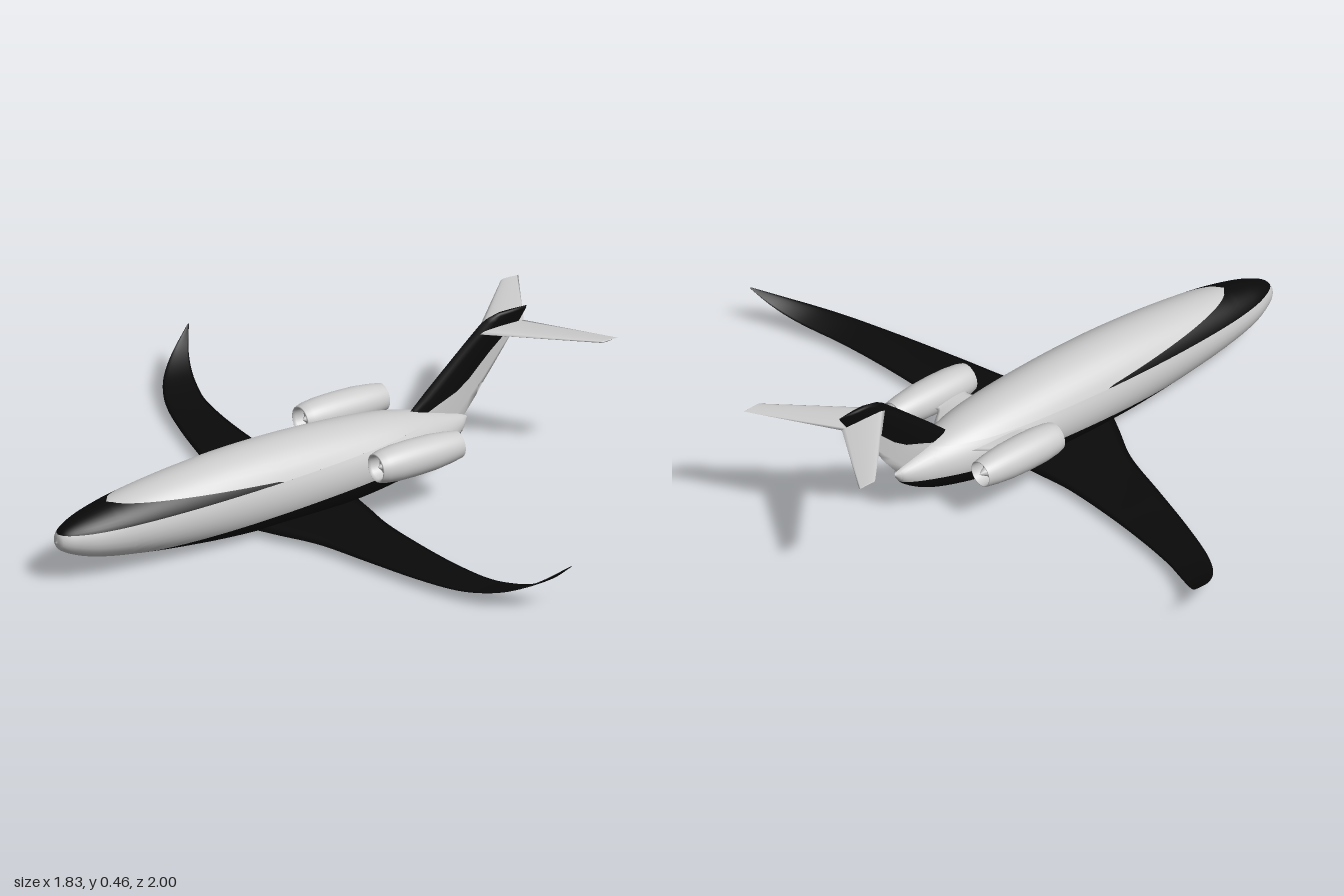
import * as THREE from 'three';

const light = new THREE.MeshStandardMaterial({ color: 0xcccccc });
light.name = 'lightGrey';
const black = new THREE.MeshStandardMaterial({ color: 0x0a0a0a });
black.name = 'black';
const paints = [light, black];

// Skin over closed rings of points; paintOf(j) gives the paint index of each lengthwise strip.
function skin(name, rings, paintOf) {
  const n = rings[0].length;
  const index = [];
  const geometry = new THREE.BufferGeometry().setFromPoints(rings.flat());
  let start = 0;
  for (let j = 0; j < n; j++) {
    const k = (j + 1) % n;
    for (let i = 0; i < rings.length - 1; i++) {
      const a = i * n, b = a + n;
      index.push(a + j, b + j, b + k, a + j, b + k, a + k);
    }
    if (j === n - 1 || paintOf(j) !== paintOf(j + 1)) {
      geometry.addGroup(start, index.length - start, paintOf(j));
      start = index.length;
    }
  }
  geometry.setIndex(index);
  geometry.computeVertexNormals();
  const mesh = new THREE.Mesh(geometry, paints);
  mesh.name = name;
  return mesh;
}

// Smooth curves through rows of numbers, sampled as rows.
function sampleRows(rows, steps) {
  const curves = rows[0].map((_, c) =>
    new THREE.CatmullRomCurve3(rows.map((r) => new THREE.Vector3(r[c], 0, 0)), false, 'catmullrom', 0.5));
  return Array.from({ length: steps + 1 }, (_, i) => curves.map((c) => c.getPoint(i / steps).x));
}

// Blade with a lens section. Each section: lead x, trail x, y, z, thickness, chord fraction where the paint changes.
function blade(name, sections, frontPaint, rearPaint) {
  const m = 6;
  const rings = sections.map(([lead, trail, y, z, thick, split = 0.5], i) => {
    const p = sections[Math.max(i - 1, 0)], q = sections[Math.min(i + 1, sections.length - 1)];
    const normal = new THREE.Vector3(0, q[2] - p[2], q[3] - p[3]).cross(new THREE.Vector3(1, 0, 0)).normalize();
    const ring = [];
    for (let j = 0; j < 4 * m; j++) {
      const k = j <= 2 * m ? j : 4 * m - j;
      const u = k <= m ? split * k / m : split + (1 - split) * (k - m) / m;
      const half = (j <= 2 * m ? 1 : -1) * thick * Math.sqrt(u) * (1 - u) * 1.3;
      ring.push(new THREE.Vector3(lead + (trail - lead) * u, y, z).addScaledVector(normal, half));
    }
    return ring;
  });
  return skin(name, rings, (j) => (j < m || j >= 3 * m ? frontPaint : rearPaint));
}

function fuselage() {
  // x, top, bottom, half width
  const rows = sampleRows([
    [-0.915, 0.141, 0.137, 0.002], [-0.905, 0.168, 0.115, 0.026], [-0.87, 0.189, 0.094, 0.05],
    [-0.8, 0.211, 0.069, 0.077], [-0.68, 0.235, 0.046, 0.1], [-0.5, 0.257, 0.023, 0.118],
    [-0.3, 0.271, 0.006, 0.128], [-0.1, 0.272, 0.001, 0.13], [0.1, 0.262, 0.008, 0.125],
    [0.25, 0.246, 0.024, 0.111], [0.36, 0.223, 0.043, 0.086], [0.45, 0.197, 0.07, 0.056],
    [0.52, 0.173, 0.112, 0.026], [0.55, 0.158, 0.15, 0.003],
  ], 156);
  const m = 8, gap = 1e-4, end = Math.PI / 2;
  const rings = rows.map(([x, top, bottom, w]) => {
    const c = (top + bottom) / 2, h = (top - bottom) / 2;
    const angle = (y) => Math.asin(THREE.MathUtils.clamp((y - c) / h, -1, 1));
    // Belly line, then the lower and upper edge of the nose stripe
    const belly = THREE.MathUtils.clamp(angle(0.05 + (x + 0.64) * 0.066), -end + gap, end - 3 * gap);
    const low = THREE.MathUtils.clamp(angle(0.165 + (x + 0.91) * 0.03), belly + gap, end - 2 * gap);
    const upper = x < -0.75 ? 1 : 0.228 - (x + 0.75) * 0.067;
    const high = THREE.MathUtils.clamp(x > -0.19 ? -end : angle(upper), low + gap, end - gap);
    const stops = [-end, belly, low, high, end];
    const ring = [];
    for (let j = 0; j < 8 * m; j++) {
      const k = j <= 4 * m ? j : 8 * m - j;
      const band = Math.min(Math.floor(k / m), 3);
      const a = THREE.MathUtils.lerp(stops[band], stops[band + 1], k / m - band);
      ring.push(new THREE.Vector3(x, c + h * Math.sin(a), (j <= 4 * m ? 1 : -1) * w * Math.cos(a)));
    }
    return ring;
  });
  return skin('fuselage', rings, (j) => [1, 0, 1, 0][Math.floor((j < 4 * m ? j : 8 * m - 1 - j) / m)]);
}

function lathe(name, points) {
  const mesh = new THREE.Mesh(
    new THREE.LatheGeometry(points.map(([r, x]) => new THREE.Vector2(r, x)), 40), light);
  mesh.rotation.z = -Math.PI / 2;
  mesh.name = name;
  return mesh;
}

function engine(side) {
  const group = new THREE.Group();
  group.name = side > 0 ? 'frontEngine' : 'rearEngine';
  group.add(
    lathe('nacelle', [[0.034, 0.13], [0.036, 0.1], [0.04, 0.091], [0.044, 0.093], [0.05, 0.115], [0.055, 0.16],
      [0.056, 0.22], [0.054, 0.29], [0.048, 0.345], [0.041, 0.385], [0.038, 0.385], [0.036, 0.34]]),
    lathe('intakeSpinner', [[0, 0.1], [0.007, 0.107], [0.013, 0.125], [0.036, 0.128]]),
    lathe('exhaustCone', [[0.04, 0.345], [0.02, 0.347], [0.012, 0.37], [0, 0.39]]),
  );
  group.position.set(0, 0.187, side * 0.197);
  return group;
}

export function createModel() {
  const model = new THREE.Group();
  model.name = 'jet';
  model.add(fuselage());

  // lead x, trail x, y, z, thickness
  const wing = sampleRows([
    [-0.28, 0.13, 0.026, 0, 0.026], [-0.215, 0.113, 0.026, 0.13, 0.022], [-0.15, 0.095, 0.027, 0.26, 0.017],
    [-0.1, 0.095, 0.028, 0.44, 0.013], [-0.055, 0.105, 0.029, 0.6, 0.01], [-0.01, 0.124, 0.033, 0.735, 0.007],
    [0.03, 0.15, 0.043, 0.82, 0.006], [0.08, 0.178, 0.061, 0.89, 0.005], [0.15, 0.209, 0.094, 0.95, 0.004],
    [0.24, 0.245, 0.145, 1, 0.002],
  ], 54);
  const tailplane = [[0.585, 0.755, 0.414, 0, 0.016], [0.85, 0.912, 0.416, 0.258, 0.006], [0.855, 0.914, 0.416, 0.26, 0]];
  const pylon = sampleRows([[0.1, 0.34, 0.18, 0.07, 0.03], [0.12, 0.3, 0.18, 0.105, 0.026],
    [0.14, 0.265, 0.182, 0.135, 0.024], [0.13, 0.28, 0.184, 0.165, 0.024]], 12);

  for (const side of [1, -1]) {
    const mirror = (rows) => rows.map((r) => [r[0], r[1], r[2], r[3] * side, r[4]]);
    model.add(
      blade('wing', mirror(wing), 1, 1),
      blade('tailplane', mirror(tailplane), 0, 0),
      blade('enginePylon', mirror(pylon), 0, 0),
      engine(side),
    );
  }

  // Tail fin: y, lead x, trail x, paint edge x, thickness
  const fin = [
    [0.16, 0.29, 0.54, 0.3, 0.02], [0.22, 0.345, 0.588, 0.43, 0.02], [0.25, 0.377, 0.608, 0.51, 0.02],
    [0.28, 0.41, 0.632, 0.555, 0.02], [0.345, 0.485, 0.682, 0.625, 0.02], [0.395, 0.543, 0.722, 0.69, 0.019],
    [0.415, 0.567, 0.738, 0.735, 0.019], [0.44, 0.597, 0.755, 0.754, 0.018], [0.453, 0.62, 0.764, 0.763, 0.016],
    [0.46, 0.65, 0.765, 0.764, 0.012], [0.461, 0.655, 0.764, 0.763, 0],
  ].map(([y, lead, trail, edge, thick]) => [lead, trail, y, 0, thick, (edge - lead) / (trail - lead)]);
  model.add(blade('tailFin', fin, 1, 0));
  return model;
}
